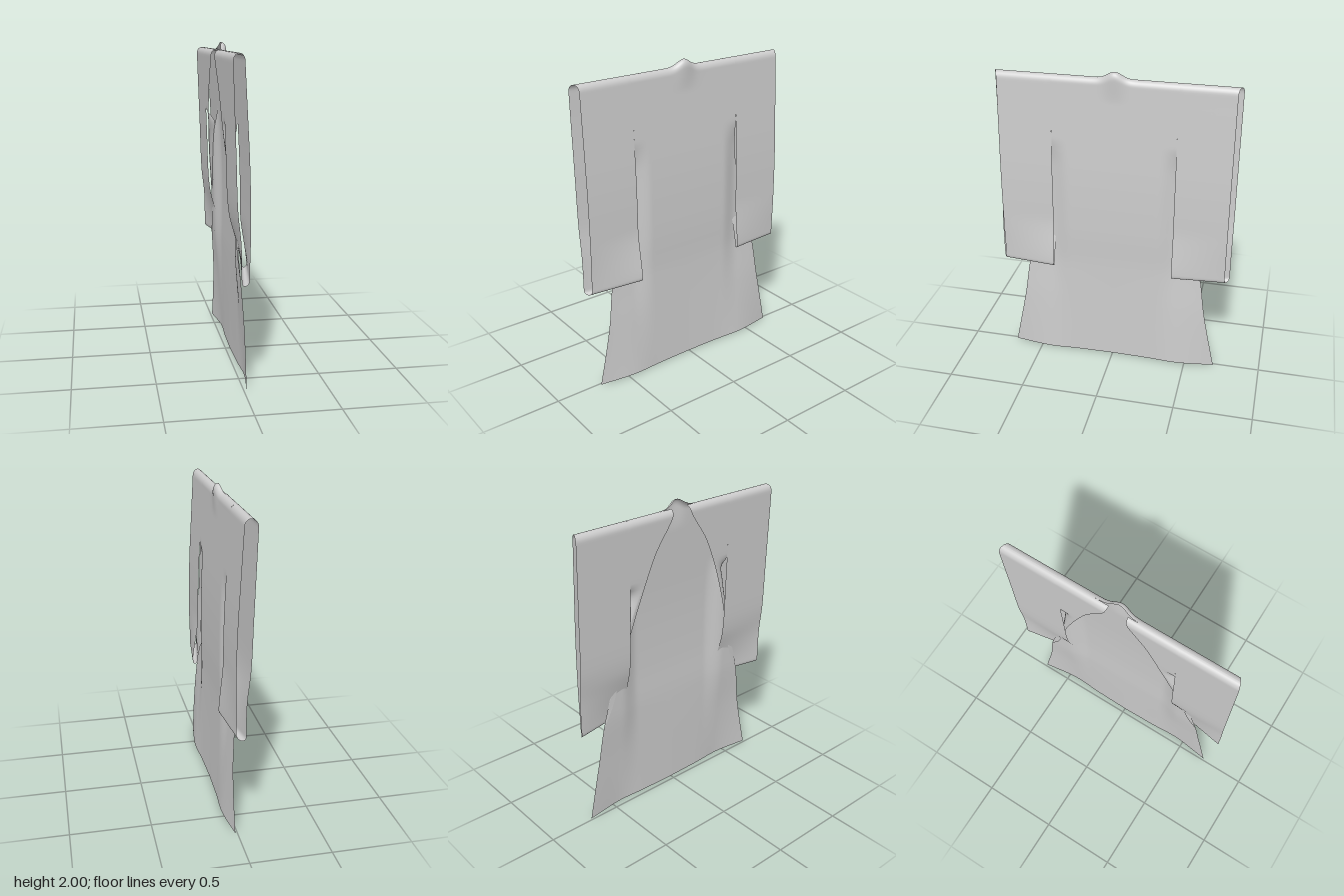
import * as THREE from 'three';

const TOP = 1.955, CUFF = 0.66, ARM = 0.39;
const { lerp, smoothstep } = THREE.MathUtils;

// smooth interpolation through [position, value] pairs with rising positions
function table(...p) {
  const n = p.length - 1;
  const slope = i => {
    const a = p[Math.max(i - 1, 0)], b = p[Math.min(i + 1, n)];
    return (b[1] - a[1]) / (b[0] - a[0]);
  };
  return t => {
    if (t <= p[0][0]) return p[0][1];
    if (t >= p[n][0]) return p[n][1];
    let i = 0;
    while (t > p[i + 1][0]) i++;
    const d = p[i + 1][0] - p[i][0], s = (t - p[i][0]) / d, s2 = s * s, s3 = s2 * s;
    return (2 * s3 - 3 * s2 + 1) * p[i][1] + (s3 - 2 * s2 + s) * d * slope(i)
      + (3 * s2 - 2 * s3) * p[i + 1][1] + (s3 - s2) * d * slope(i + 1);
  };
}

// depth of the front and back cloth by height
const frontX = table([0.66, -0.03], [0.9, -0.033], [1.1, -0.053], [1.4, -0.063], [1.9, -0.08], [1.955, -0.08]);
const backX = table([0, 0.03], [0.66, 0.02], [0.95, 0.025], [1.3, 0.02], [1.7, 0], [1.93, -0.012], [1.955, -0.012]);
// half width of the body, and edge of the open front
const bodyHalf = table([0, 0.695], [0.4, 0.613], [0.65, 0.575], [0.9, 0.51], [1.2, 0.43], [1.5, 0.392], [1.55, ARM], [1.7, ARM], [2, ARM]);
const openEdge = table([0.66, 0.57], [0.8, 0.5], [1.28, 0.37], [1.7, 0.21], [1.9, 0.08], [1.955, 0.06]);
// inward pull at the armholes, and the wave of the hem
const dent = table([0, 0], [0.4, 0.01], [0.66, 0.025], [1, 0.04], [1.38, 0.035], [1.55, 0]);
const hemWave = table([0, 0], [0.25, 0.005], [0.45, 0.013], [0.7, -0.018]);

// rounding towards the shoulder fold and the sleeve bottom
function roundness(y, bottom) {
  const d = Math.max(0, (y - 1.915) / 0.04, bottom ? (0.685 - y) / 0.025 : 0);
  return Math.sqrt(Math.max(0, 1 - d * d));
}
function layerX(y, f, b, side, bottom = false) {
  return (f + b) / 2 + side * (b - f) / 2 * roundness(y, bottom);
}

// inside-to-outside position on the back of the body
function bodyX(y, z) {
  const a = Math.abs(z);
  return layerX(y, frontX(y), backX(y), 1)
    - dent(y) * smoothstep(a, 0.28, 0.43)
    + hemWave(a) * Math.max(0, 1 - y / 0.7);
}

const material = new THREE.MeshStandardMaterial({ color: 0xcccccc, side: THREE.DoubleSide });

// cloth sheet from a rule (u, v) -> [x, y, z]
function sheet(name, nu, nv, rule) {
  const pos = [], idx = [];
  for (let j = 0; j <= nv; j++) for (let i = 0; i <= nu; i++) {
    pos.push(...rule(i / nu, j / nv));
    if (i < nu && j < nv) {
      const a = j * (nu + 1) + i, b = a + nu + 1;
      idx.push(a, a + 1, b, a + 1, b + 1, b);
    }
  }
  const g = new THREE.BufferGeometry();
  g.setAttribute('position', new THREE.Float32BufferAttribute(pos, 3));
  g.setIndex(idx);
  g.computeVertexNormals();
  const mesh = new THREE.Mesh(g, material);
  mesh.name = name;
  return mesh;
}

export function createModel() {
  const group = new THREE.Group();
  group.name = 'robe';

  // back of the body with the collar rise at the neck
  group.add(sheet('backPanel', 72, 90, (u, v) => {
    const y = TOP * Math.sin(v * Math.PI / 2);
    const z = (1 - 2 * u) * bodyHalf(y);
    const bump = Math.exp(-((z / 0.06) ** 2));
    const rise = smoothstep(y, 1.8, TOP);
    return [bodyX(y, z) + 0.015 * bump * rise, y + 0.045 * bump * rise, z];
  }));

  for (const s of [1, -1]) {
    const side = s > 0 ? 'Front' : 'Rear';

    // open front panel, from the shoulder fold down to the side seam
    group.add(sheet('frontPanel' + side, 16, 60, (u, v) => {
      const y = CUFF + (TOP - CUFF) * Math.sin(v * Math.PI / 2);
      const half = bodyHalf(y);
      const z = lerp(Math.min(openEdge(y), half), half, u);
      const near = layerX(y, frontX(y), backX(y), -1);
      const far = bodyX(y, half) - 0.003 * (1 - u);
      const w = Math.max(1 - smoothstep(y, 0.75, 1.55), u * u * (1 - smoothstep(y, 1.45, 1.56)));
      return [lerp(near, far, w), y, s * z];
    }));

    // sleeve: a flat loop, open at the cuff and at the armhole
    const flare = s > 0 ? 0.045 : 0.032;
    group.add(sheet('sleeve' + side, 12, 120, (u, v) => {
      const y = (TOP + CUFF) / 2 + (TOP - CUFF) / 2 * Math.cos(v * Math.PI * 2);
      const back = v > 0.5 ? 1 : -1;
      const low = (1 - smoothstep(y, 0.66, 1.02)) * (1 - u);
      const f = frontX(y) + 0.062 * low;
      const b = backX(y) + flare * low;
      const x = layerX(y, f, b, back, true);
      const end = lerp(0.76, 0.732, THREE.MathUtils.clamp((x - f) / (b - f), 0, 1));
      return [x, y + 0.01 * low * (1 - smoothstep(y, 0.66, 0.8)), s * lerp(ARM, end, u)];
    }));
  }
  return group;
}
